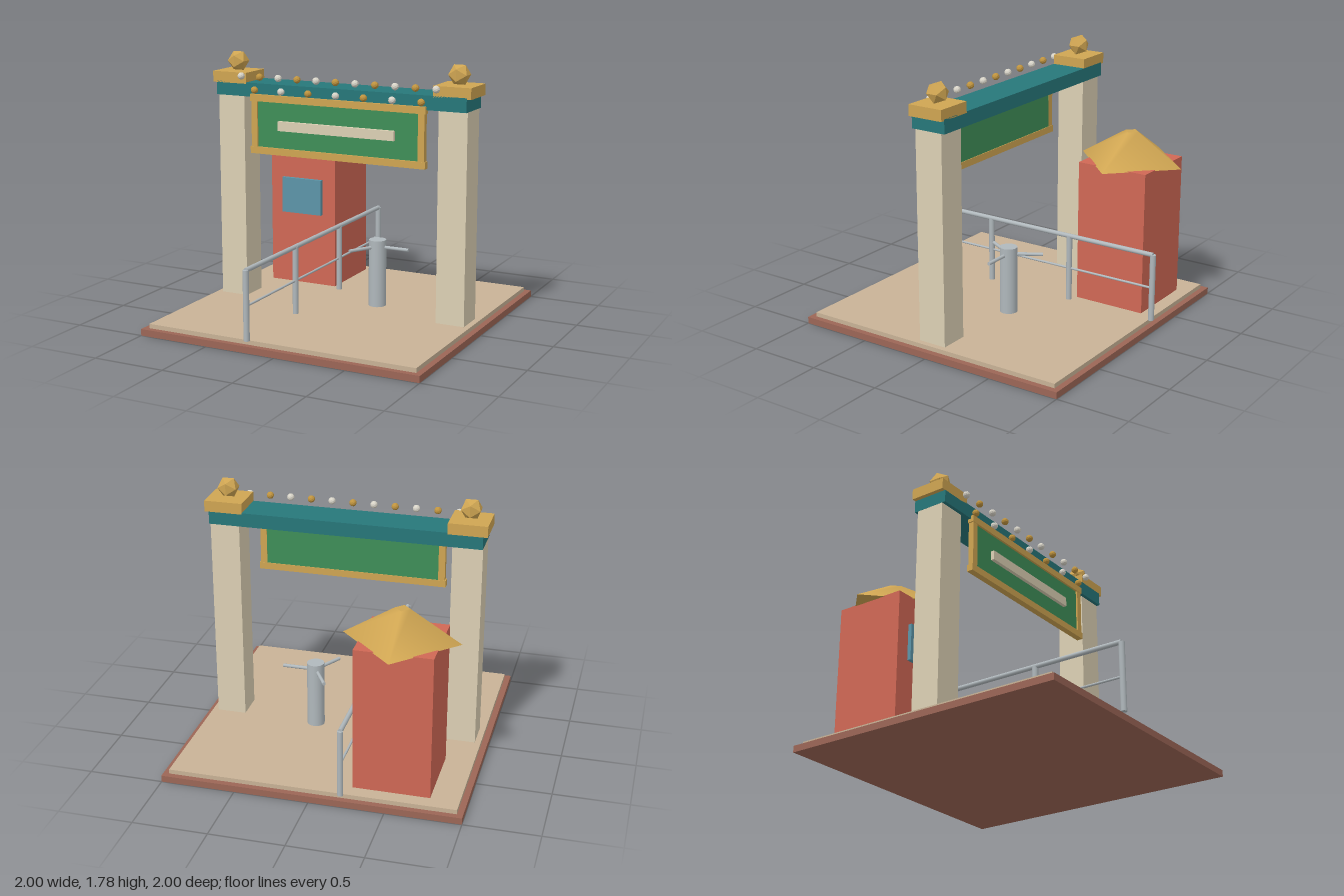
import * as THREE from 'three';

const mat = (color, flatShading = false) => new THREE.MeshStandardMaterial({ color, flatShading });
const M = {
  brown: mat(0x9c6656), paving: mat(0xc8b296), cream: mat(0xdcd0b4), teal: mat(0x27777a),
  gold: mat(0xcfa552), green: mat(0x3f8f58), red: mat(0xd06855), glass: mat(0x5c95a8),
  steel: mat(0xb0b8bc), goldFacet: mat(0xcfa552, true), bulbGold: mat(0xc0943f, true), bulbWhite: mat(0xd8d4c8, true),
};

export function createModel() {
  const root = new THREE.Group();

  const add = (name, geo, material, x = 0, y = 0, z = 0) => {
    const mesh = new THREE.Mesh(geo, material);
    mesh.name = name;
    mesh.position.set(x, y, z);
    root.add(mesh);
    return mesh;
  };
  // Box given by its min and max on each axis
  const box = (name, m, x0, x1, y0, y1, z0, z1) =>
    add(name, new THREE.BoxGeometry(x1 - x0, y1 - y0, z1 - z0), m, (x0 + x1) / 2, (y0 + y1) / 2, (z0 + z1) / 2);
  // Round bar between two points
  const bar = (name, a, b, r, sides = 12) => {
    const p = new THREE.Vector3(...a), q = new THREE.Vector3(...b);
    const d = q.clone().sub(p);
    const mesh = add(name, new THREE.CylinderGeometry(r, r, d.length(), sides), M.steel);
    mesh.position.copy(p).add(q).multiplyScalar(0.5);
    mesh.quaternion.setFromUnitVectors(new THREE.Vector3(0, 1, 0), d.normalize());
    return mesh;
  };

  // Ground
  box('base', M.brown, -1, 1, 0, 0.045, -1, 1);
  box('paving', M.paving, -0.96, 0.96, 0.045, 0.075, -0.96, 0.96);

  // Gateway: pillars, caps, finials and the beam
  for (const s of [-1, 1]) {
    const x = s * 0.82;
    box('pillar', M.cream, x - 0.1, x + 0.1, 0.075, 1.58, -0.1, 0.1);
    box('pillarCap', M.gold, x - 0.13, x + 0.13, 1.58, 1.655, -0.125, 0.125);
    add('finial', new THREE.IcosahedronGeometry(0.075, 0), M.goldFacet, x, 1.72, 0);
  }
  box('beam', M.teal, -0.921, 0.921, 1.495, 1.59, -0.125, 0.125);

  // Hanging sign
  box('signPanel', M.green, -0.6, 0.6, 1.15, 1.475, 0.105, 0.13);
  box('signPlate', M.cream, -0.43, 0.43, 1.28, 1.345, 0.13, 0.155);
  for (const y of [1.11, 1.47]) box('signFrameRail', M.gold, -0.648, 0.648, y, y + 0.047, 0.1, 0.145);
  for (const s of [-1, 1]) {
    box('signFrameSide', M.gold, s * 0.6175 - 0.0225, s * 0.6175 + 0.0225, 1.115, 1.51, 0.103, 0.142);
  }

  // Two strings of bulbs in alternating colours
  const bulbRow = (count, half, y, first, second) => {
    for (let i = 0; i < count; i++) {
      const x = -half + (2 * half * i) / (count - 1);
      add('bulb', new THREE.IcosahedronGeometry(0.025, 1), i % 2 ? second : first, x, y, 0.14);
    }
  };
  bulbRow(11, 0.718, 1.635, M.bulbWhite, M.bulbGold);
  bulbRow(7, 0.615, 1.545, M.bulbGold, M.bulbWhite);

  // Ticket booth
  box('booth', M.red, -0.77, -0.26, 0.078, 1.06, -0.87, -0.36);
  box('boothWindow', M.glass, -0.67, -0.36, 0.595, 0.85, -0.36, -0.333);
  add('boothRoof', new THREE.CylinderGeometry(0.05, 0.382, 0.205, 4), M.gold, -0.515, 1.1575, -0.617);

  // Guard rail
  const rx = -0.208;
  for (const z of [-0.975, -0.325, 0.325, 0.975]) bar('railPost', [rx, 0.075, z], [rx, 0.54, z], 0.02);
  bar('topRail', [rx, 0.539, -0.975], [rx, 0.539, 0.975], 0.016);
  bar('midRail', [rx, 0.305, -0.975], [rx, 0.305, 0.975], 0.008);

  // Turnstile with three arms
  bar('turnstilePost', [0.2, 0.075, -0.1], [0.2, 0.54, -0.1], 0.06, 16);
  for (let i = 0; i < 3; i++) {
    const a = (i * Math.PI * 2) / 3;
    bar('turnstileArm', [0.2, 0.49, -0.1], [0.2 + 0.23 * Math.cos(a), 0.49, -0.1 + 0.23 * Math.sin(a)], 0.012);
  }
  return root;
}
